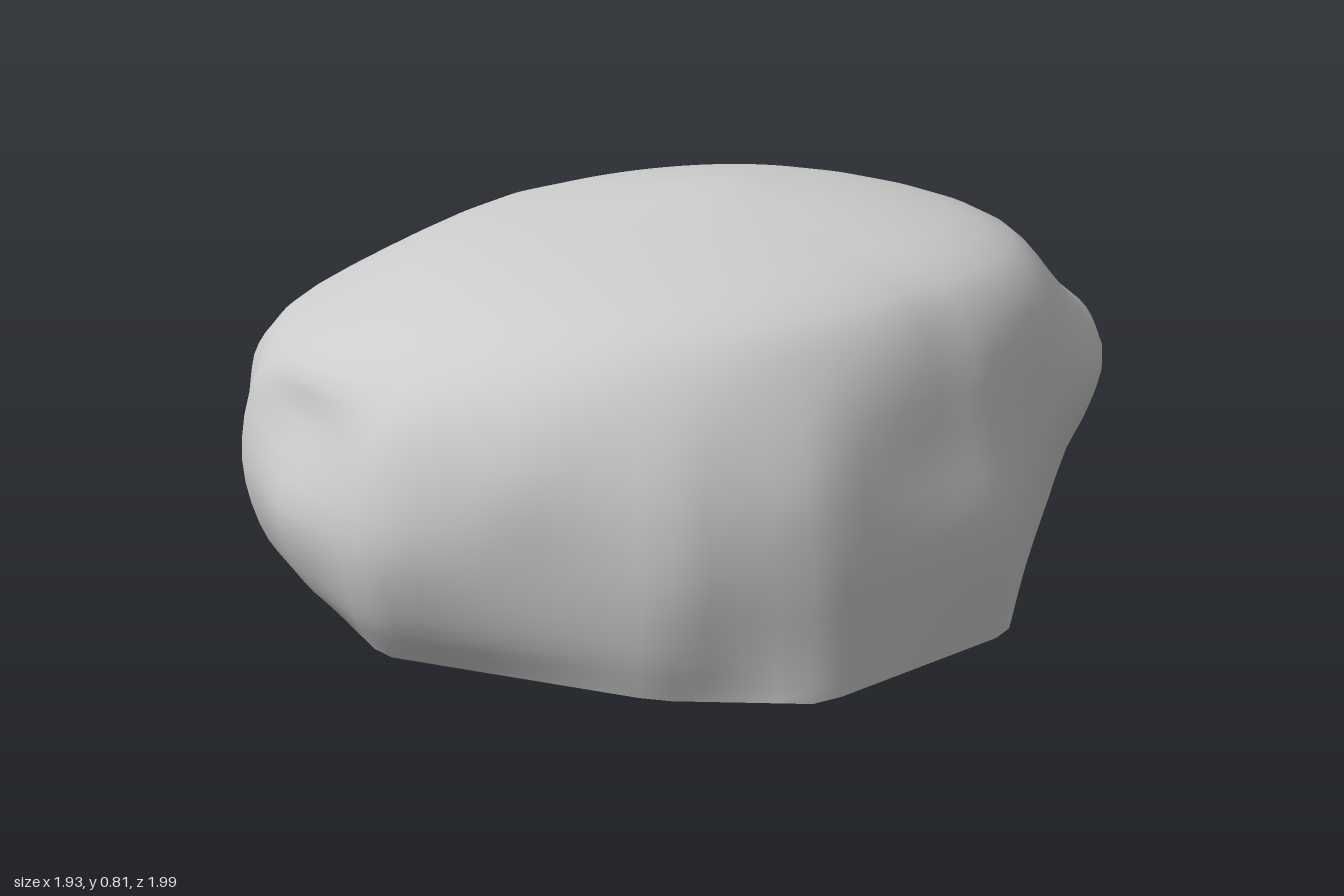
import * as THREE from 'three';

// Plan outlines [x, z], running from +x towards the front (+z)
const FOOT = [[0.65, -0.04], [0.63, 0.44], [0.53, 0.69], [0.1, 0.97], [-0.45, 0.95], [-0.66, 0.71], [-0.87, 0.15],
  [-0.64, -0.42], [-0.2, -0.88], [0.25, -0.86], [0.38, -0.68]];
const WIDE = [[0.86, 0.1], [0.89, 0.45], [0.75, 0.67], [0.05, 1], [-0.42, 0.95], [-0.68, 0.78], [-0.97, 0.23],
  [-0.92, -0.1], [-0.78, -0.38], [-0.28, -0.95], [0.02, -1], [0.2, -0.95], [0.38, -0.78], [0.47, -0.6], [0.7, -0.32]];
const EDGE = [[0.97, 0.23], [0.92, 0.54], [0.79, 0.67], [0.62, 0.8], [0.05, 0.95], [-0.42, 0.92], [-0.67, 0.75],
  [-0.83, 0.5], [-0.93, 0.2], [-0.76, -0.37], [-0.27, -0.9], [0.02, -0.94], [0.18, -0.88], [0.47, -0.64],
  [0.58, -0.58], [0.79, -0.35], [0.92, -0.08]];
const TOP = new THREE.Vector3(0.1, 0.825, 0.16);
const COLS = 96, ROWS = 24;

// Distance from the middle to an outline at angle a
function reach(outline, a) {
  const c = Math.cos(a), s = Math.sin(a);
  let r = 0;
  outline.forEach(([px, pz], i) => {
    const [qx, qz] = outline[(i + 1) % outline.length];
    const dp = c * pz - s * px, dq = c * qz - s * qx;
    if (dp > 0 || dq <= 0) return;
    const t = dp / (dp - dq);
    r = Math.max(r, (px + (qx - px) * t) * c + (pz + (qz - pz) * t) * s);
  });
  return r;
}

// One smooth profile from the rim up to the top, in direction a
function profile(a) {
  const c = Math.cos(a), s = Math.sin(a);
  const foot = reach(FOOT, a), wide = reach(WIDE, a), edge = reach(EDGE, a);
  const at = (r, y) => new THREE.Vector3(r * c, y, r * s);
  // dome ring: off-centre circle, squarer at the front, with a tilted height
  const ring = (radius, shift, y, tiltX, tiltZ) => {
    const r = (radius + shift * s) * (1 + 0.1 * s * Math.abs(c));
    return at(r, y + tiltX * r * c + tiltZ * r * s);
  };
  return new THREE.CatmullRomCurve3([
    at(foot, 0.01), // open rim
    at(THREE.MathUtils.lerp(foot, wide, 0.62 - 0.34 * Math.max(0, c)), 0.11), // base, undercut at +x
    at(wide, 0.27), // ledge and back lobe
    at(edge, 0.45 - 0.09 * Math.max(0, -s) ** 2 - 0.02 * Math.max(0, s)), // overhang
    ring(0.84, 0.04, 0.545, 0, 0.08), // shoulder
    ring(0.69, 0.1, 0.66, 0.02, 0.08), // upper slope
    ring(0.42, 0.12, 0.76, 0.04, 0.05), // crown
    TOP,
  ], false, 'centripetal');
}

// Skin joining the profiles
function boulderGeometry() {
  const pos = [], index = [];
  for (let i = 0; i < COLS; i++) {
    const curve = profile((i / COLS) * Math.PI * 2);
    for (let j = 0; j < ROWS; j++) pos.push(...curve.getPoint(j / ROWS).toArray());
  }
  pos.push(...TOP.toArray());
  const tip = COLS * ROWS;
  for (let i = 0; i < COLS; i++) {
    const a = i * ROWS, b = ((i + 1) % COLS) * ROWS;
    for (let j = 0; j < ROWS - 1; j++) {
      index.push(a + j, a + j + 1, b + j, b + j, a + j + 1, b + j + 1);
    }
    index.push(a + ROWS - 1, tip, b + ROWS - 1);
  }
  const g = new THREE.BufferGeometry();
  g.setAttribute('position', new THREE.Float32BufferAttribute(pos, 3));
  g.setIndex(index);
  g.computeVertexNormals();
  return g;
}

export function createModel() {
  const group = new THREE.Group();
  group.name = 'rock';
  // hollow shell, open underneath
  const material = new THREE.MeshStandardMaterial({ color: 0xcccccc, side: THREE.DoubleSide });
  const boulder = new THREE.Mesh(boulderGeometry(), material);
  boulder.name = 'boulder';
  group.add(boulder);
  return group;
}
